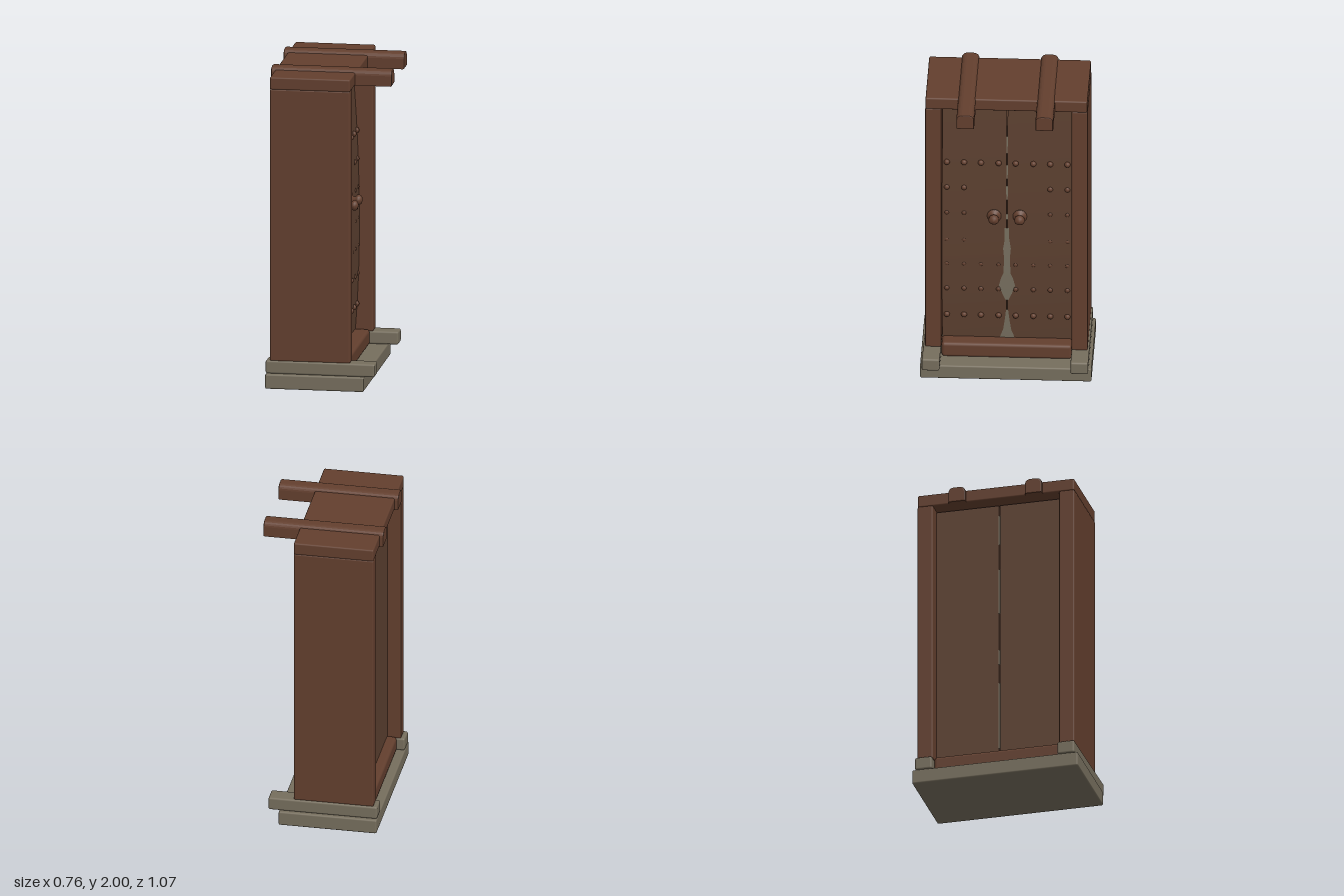
import * as THREE from 'three';
import { RoundedBoxGeometry } from 'three/addons/geometries/RoundedBoxGeometry.js';

const mat = (name, color) => {
  const m = new THREE.MeshStandardMaterial({ color });
  m.name = name;
  return m;
};

// x position of the bowed door face at height y
const bow = (y) => {
  const t = (y - 0.85) / (y > 0.85 ? 1.05 : 0.66);
  return 0.064 - (y > 0.85 ? 0.045 : 0.025) * t * t;
};
const BACK = -0.27;

export function createModel() {
  const group = new THREE.Group();
  const wood = mat('frame wood', 0x633f2e);
  const doorWood = mat('door wood', 0x5c4030);
  const stone = mat('stone', 0x766e5d);
  const worn = mat('worn grey', 0x787060);
  worn.side = THREE.DoubleSide;

  const add = (name, geometry, material, x = 0, y = 0, z = 0) => {
    const mesh = new THREE.Mesh(geometry, material);
    mesh.name = name;
    mesh.position.set(x, y, z);
    group.add(mesh);
    return mesh;
  };
  // Softened block given by its limits
  const block = (name, material, [x0, x1], [y0, y1], [z0, z1], r = 0.01) =>
    add(name, new RoundedBoxGeometry(x1 - x0, y1 - y0, z1 - z0, 2, r), material,
      (x0 + x1) / 2, (y0 + y1) / 2, (z0 + z1) / 2);

  // Stone base and threshold
  block('baseSlab', stone, [-0.38, 0.24], [0, 0.093], [-0.533, 0.533]);
  block('threshold', wood, [-0.33, 0.13], [0.09, 0.19], [-0.405, 0.405], 0.02);

  // Posts on stone footings
  for (const s of [-1, 1]) {
    const span = (a, b) => [Math.min(s * a, s * b), Math.max(s * a, s * b)];
    const footing = block('footing', stone, [-0.38, 0.308], [0.093, 0.176], span(0.405, 0.515), 0.012);
    if (s > 0) footing.rotation.y = -0.014;
    block('post', wood, [-0.355, 0.15], [0.172, 1.905], span(0.405, 0.505));
  }

  // Lintel
  block('lintel', wood, [-0.355, 0.15], [1.9, 1.98], [-0.503, 0.503]);

  // Roof beams with rounded upper corners
  const section = new THREE.Shape();
  section.moveTo(-0.047, 0.008);
  section.lineTo(0.047, 0.008);
  section.lineTo(0.047, 0.065);
  section.quadraticCurveTo(0.045, 0.09, 0.02, 0.092);
  section.lineTo(-0.02, 0.092);
  section.quadraticCurveTo(-0.045, 0.09, -0.047, 0.065);
  section.closePath();
  const beam = new THREE.ExtrudeGeometry(section, {
    depth: 0.744, bevelThickness: 0.008, bevelSize: 0.008, bevelSegments: 2, curveSegments: 5,
  });
  beam.translate(0, 0, -0.372).rotateY(Math.PI / 2);
  for (const z of [-0.246, 0.246]) add('roofBeam', beam, wood, 0, 1.9, z);

  // Two door leaves with a bowed front face
  const leaf = new THREE.BoxGeometry(1, 1.705, 0.4, 1, 16, 1);
  const p = leaf.attributes.position;
  for (let i = 0; i < p.count; i++) {
    const y = p.getY(i) + 1.0375;
    p.setXYZ(i, p.getX(i) > 0 ? bow(y) : BACK, y, p.getZ(i));
  }
  leaf.computeVertexNormals();
  for (const s of [-1, 1]) add('doorLeaf', leaf, doorWood, 0, 0, s * 0.203);
  // Core showing through the joint
  add('jointCore', new THREE.BoxGeometry(0.27, 1.68, 0.012), doorWood, -0.12, 1.03, 0);

  // Worn patches along the joint: pairs of height and half width
  const patches = [
    [[0.19, 0.045], [0.21, 0.04], [0.25, 0.025], [0.33, 0.014], [0.4, 0.006]],
    [[0.47, 0.008], [0.52, 0.03], [0.58, 0.05], [0.63, 0.038], [0.67, 0.022], [0.78, 0.018], [0.85, 0.024], [0.92, 0.014], [1.0, 0.014]],
    [[1.06, 0.005], [1.1, 0.005]],
    [[1.2, 0.004], [1.3, 0.006]],
    [[1.35, 0.004], [1.45, 0.005]],
    [[1.53, 0.003], [1.65, 0.005]],
  ];
  for (const rows of patches) {
    const pos = [], idx = [];
    rows.forEach(([y, w], i) => {
      pos.push(bow(y) + 0.003, y, w, bow(y) + 0.003, y, -w);
      if (i) idx.push(2 * i - 2, 2 * i - 1, 2 * i, 2 * i - 1, 2 * i + 1, 2 * i);
    });
    const g = new THREE.BufferGeometry();
    g.setAttribute('position', new THREE.Float32BufferAttribute(pos, 3));
    g.setIndex(idx);
    g.computeVertexNormals();
    add('wornPatch', g, worn);
  }
  for (const [y, h] of [[1.72, 0.2], [1.3, 0.3], [0.85, 0.1], [0.45, 0.45]]) {
    add('backJoint', new THREE.BoxGeometry(0.004, h, 0.012), worn, BACK - 0.001, y, 0);
  }

  // Rows of studs: height and number per leaf, counted from the outer edge
  const studGeo = new THREE.SphereGeometry(0.019, 12, 8);
  const rows = [[1.46, 4], [1.28, 2], [1.1, 2], [0.905, 2], [0.73, 4], [0.55, 4], [0.355, 4]];
  for (const [y, n] of rows) {
    for (const z of [0.375, 0.268, 0.163, 0.053].slice(0, n)) {
      for (const s of [-1, 1]) add('stud', studGeo, wood, 0.049, y, s * z);
    }
  }

  // Door knobs turned on a collar
  const profile = [[0, 0], [0.044, 0], [0.044, 0.012], [0.022, 0.02], [0.018, 0.034],
    [0.031, 0.046], [0.033, 0.06], [0.022, 0.075], [0, 0.08]];
  const knob = new THREE.LatheGeometry(profile.map(([r, h]) => new THREE.Vector2(r, h)), 18);
  knob.rotateZ(-Math.PI / 2);
  for (const s of [-1, 1]) add('knob', knob, wood, 0.056, 1.085, s * 0.08);

  return group;
}
